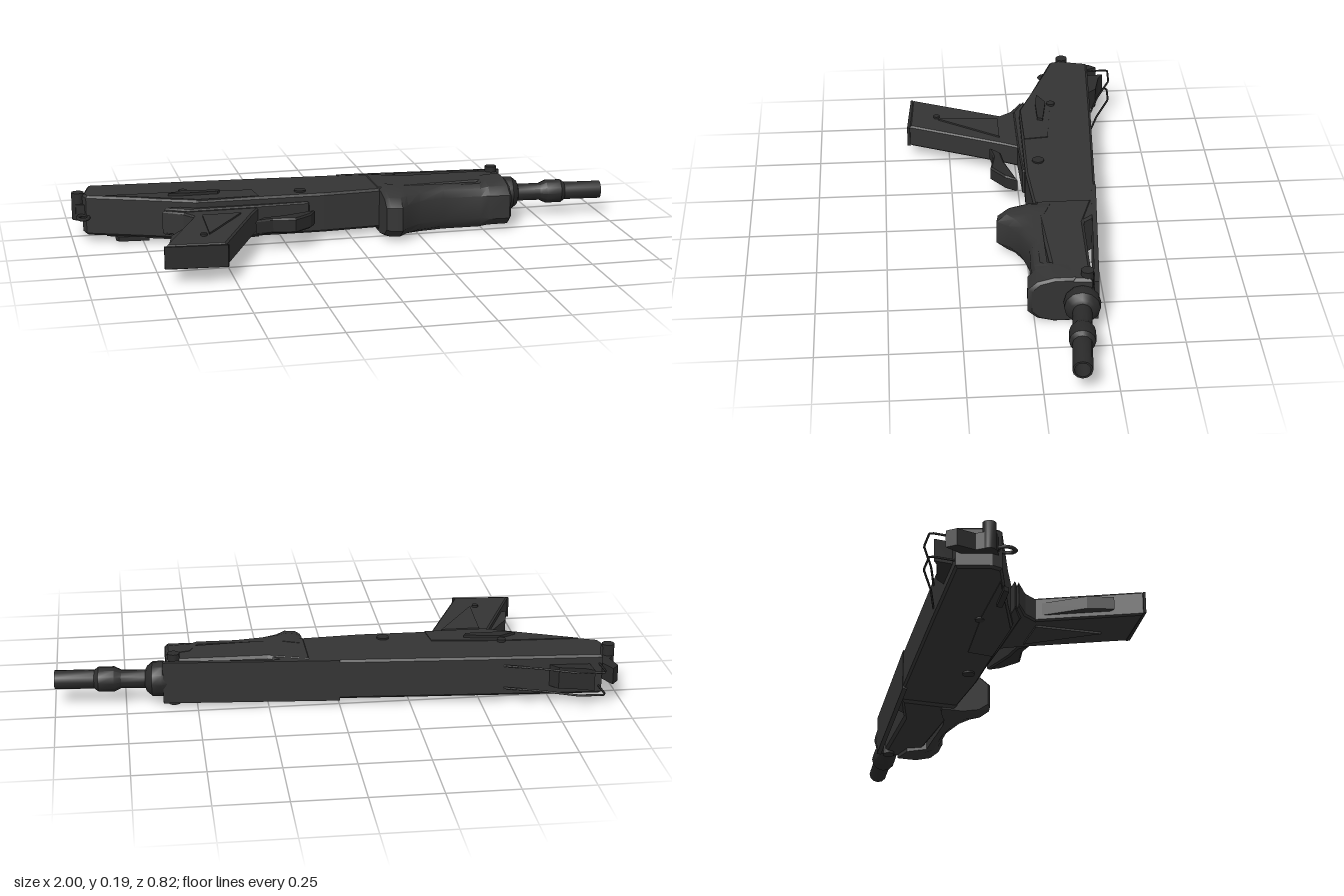
import * as THREE from 'three';
import { toCreasedNormals } from 'three/addons/utils/BufferGeometryUtils.js';

const dark = new THREE.MeshStandardMaterial({ color: 0x343434 });
dark.name = 'dark polymer';
const steel = new THREE.MeshStandardMaterial({ color: 0x2b2b2b });
steel.name = 'blackened steel';
const MID = 0.1; // height of the centre plane of the model lying on its side

export function createModel() {
  const root = new THREE.Group();
  root.name = 'model';

  const add = (name, geometry, material = dark) => {
    const mesh = new THREE.Mesh(geometry, material);
    mesh.name = name;
    root.add(mesh);
    return mesh;
  };

  // outline in x and z, raised from y0 to y1
  const slab = (name, points, y0, y1, material = dark, bevel = 0) => {
    const shape = new THREE.Shape(points.map(([x, z]) => new THREE.Vector2(x, -z)));
    const geometry = new THREE.ExtrudeGeometry(shape, {
      depth: y1 - y0 - 2 * bevel, bevelEnabled: bevel > 0, bevelThickness: bevel,
      bevelSize: bevel, bevelOffset: -bevel, bevelSegments: 1,
    });
    geometry.rotateX(-Math.PI / 2).translate(0, y0 + bevel, 0);
    return add(name, geometry, material);
  };

  // thin bent wire
  const wire = (name, points, radius) => {
    const path = new THREE.CurvePath();
    const v = points.map((p) => new THREE.Vector3(...p));
    for (let i = 1; i < v.length; i++) path.add(new THREE.LineCurve3(v[i - 1], v[i]));
    add(name, new THREE.TubeGeometry(path, 24, radius, 5), steel);
  };

  // upright pin on the side faces
  const pin = (name, x, z, radius, y0, y1) => {
    const geometry = new THREE.CylinderGeometry(radius, radius, y1 - y0, 12);
    add(name, toCreasedNormals(geometry.translate(x, (y0 + y1) / 2, z), 0.7), steel);
  };

  // main body
  slab('receiver', [[-0.93, -0.325], [-0.55, -0.302], [0, -0.265], [0.2, -0.248], [0.24, -0.2],
    [0.24, -0.04], [-0.1, -0.018], [-0.57, -0.025], [-0.7, -0.08], [-0.95, -0.175], [-0.96, -0.21]],
    0.03, 0.177, dark, 0.008);
  slab('handguardCore', [[0.1, -0.245], [0.25, -0.2], [0.61, -0.195], [0.6, -0.065], [0.1, -0.035]],
    0.02, 0.18, dark, 0.01);
  slab('topRail', [[0.0, -0.267], [0.62, -0.217], [0.62, -0.2], [0.0, -0.25]], 0.025, 0.178);
  for (const y of [0.026, 0.174]) {
    slab('sidePanel', [[-0.88, -0.16], [-0.62, -0.15], [-0.35, -0.12], [-0.34, -0.03], [-0.56, -0.03]],
      y, y + 0.006);
  }

  // rounded foregrip: stations of x, top, bottom and half width
  const stations = [[0.11, -0.09, 0.085, 0.08], [0.125, -0.09, 0.098, 0.087], [0.165, -0.075, 0.105, 0.088],
    [0.195, -0.06, 0.065, 0.086], [0.25, -0.05, 0.028, 0.084], [0.35, -0.05, 0, 0.083],
    [0.49, -0.05, 0.005, 0.083], [0.52, -0.12, 0.02, 0.088], [0.595, -0.14, 0.024, 0.088],
    [0.605, -0.13, 0.01, 0.08]];
  const verts = [], index = [], n = 8;
  for (const [x, top, bottom, w] of stations) {
    const h = bottom - top;
    const half = [[w, top], [w, top + h * 0.45], [w * 0.83, top + h * 0.8], [w * 0.5, bottom]];
    const ring = [...half, ...half.map(([y, z]) => [-y, z]).reverse()];
    for (const [y, z] of ring) verts.push(x, 0.094 + y, z);
  }
  for (let i = 0; i < stations.length - 1; i++) {
    for (let j = 0; j < n; j++) {
      const a = i * n + j, b = i * n + (j + 1) % n;
      index.push(a, b, a + n, b, b + n, a + n);
    }
  }
  const last = (stations.length - 1) * n;
  for (let j = 1; j < n - 1; j++) index.push(0, j + 1, j, last, last + j, last + j + 1);
  const grip = new THREE.BufferGeometry();
  grip.setAttribute('position', new THREE.Float32BufferAttribute(verts, 3));
  grip.setIndex(index);
  add('foregrip', toCreasedNormals(grip, 0.6));

  // rear grip with its magazine floor and back strap
  slab('pistolGrip', [[-0.69, -0.04], [-0.34, -0.02], [-0.375, 0.05], [-0.53, 0.4], [-0.735, 0.385],
    [-0.59, 0.05], [-0.62, 0.005]], 0.055, 0.142, dark, 0.006);
  slab('backStrap', [[-0.6, 0.07], [-0.69, 0.2], [-0.71, 0.29], [-0.68, 0.28]], 0.075, 0.12);
  slab('gripFloor', [[-0.74, 0.383], [-0.52, 0.4], [-0.525, 0.411], [-0.74, 0.392]], 0.06, 0.138, steel);
  for (const y of [0.048, 0.14]) {
    slab('gripPanel', [[-0.56, 0.06], [-0.42, 0.06], [-0.57, 0.29]], y, y + 0.008);
  }
  pin('gripButton', -0.59, 0.295, 0.012, 0.13, 0.15);

  // trigger and its housing
  slab('trigger', [[-0.375, 0.1], [-0.34, 0.06], [-0.27, 0.05], [-0.14, 0.01], [-0.165, 0.055],
    [-0.23, 0.105], [-0.31, 0.09]], 0.07, 0.125, steel, 0.006);
  slab('triggerHousing', [[-0.68, -0.05], [-0.14, -0.05], [-0.16, -0.01], [-0.34, -0.005], [-0.6, -0.005]],
    0.05, 0.15, dark, 0.005);

  // barrel and muzzle tube, slightly tilted
  const barrel = new THREE.Group();
  barrel.name = 'barrel';
  barrel.position.set(0.6, 0.097, -0.162);
  barrel.rotation.set(0, -0.092, 0);
  root.add(barrel);
  const profile = [[0, -0.06], [0.045, -0.06], [0.056, 0], [0.064, 0.02], [0.062, 0.055], [0.045, 0.075],
    [0.033, 0.08], [0.033, 0.165], [0.045, 0.19], [0.045, 0.245], [0.034, 0.26], [0.034, 0.4],
    [0.027, 0.4], [0.027, 0.27], [0, 0.27]];
  const lathe = new THREE.LatheGeometry(profile.map(([r, x]) => new THREE.Vector2(r, x)), 12);
  const tube = new THREE.Mesh(toCreasedNormals(lathe.rotateZ(-Math.PI / 2), 0.6), steel);
  tube.name = 'barrelTube';
  barrel.add(tube);

  // rear sight with guard wires on both sides
  for (const y of [0.06, 0.145]) {
    wire('sightGuard', [[-0.92, y, -0.32], [-0.925, y, -0.408], [-0.83, y, -0.403], [-0.7, y, -0.345],
      [-0.58, y, -0.305]], 0.004);
  }
  slab('rearSight', [[-0.885, -0.32], [-0.89, -0.385], [-0.86, -0.365], [-0.77, -0.345], [-0.74, -0.31]],
    0.065, 0.145, steel);

  // rear catch and sling ring
  slab('rearCatch', [[-0.93, -0.3], [-0.96, -0.365], [-0.985, -0.335], [-0.97, -0.27], [-0.99, -0.24],
    [-0.985, -0.2], [-0.93, -0.18]], 0.08, 0.14, steel);
  pin('catchKnob', -0.975, -0.225, 0.023, 0.08, 0.18);
  const ring = add('slingRing', new THREE.TorusGeometry(0.02, 0.006, 6, 14), steel);
  ring.rotation.x = Math.PI / 2;
  ring.scale.y = 1.5;
  ring.position.set(-0.962, MID, -0.165);

  // pins and controls on the sides
  pin('bodyPin', -0.18, -0.07, 0.022, 0.024, 0.183);
  pin('rearPin', -0.6, -0.15, 0.016, 0.024, 0.186);
  pin('frontPin', 0.58, -0.18, 0.022, 0.01, 0.2);
  slab('selector', [[-0.66, -0.1], [-0.6, -0.13], [-0.47, -0.11], [-0.48, -0.09], [-0.6, -0.09]],
    0.177, 0.19, steel);
  slab('sideLatch', [[-0.85, -0.14], [-0.73, -0.13], [-0.73, -0.11], [-0.84, -0.12]], 0.014, 0.031, steel);
  return root;
}
